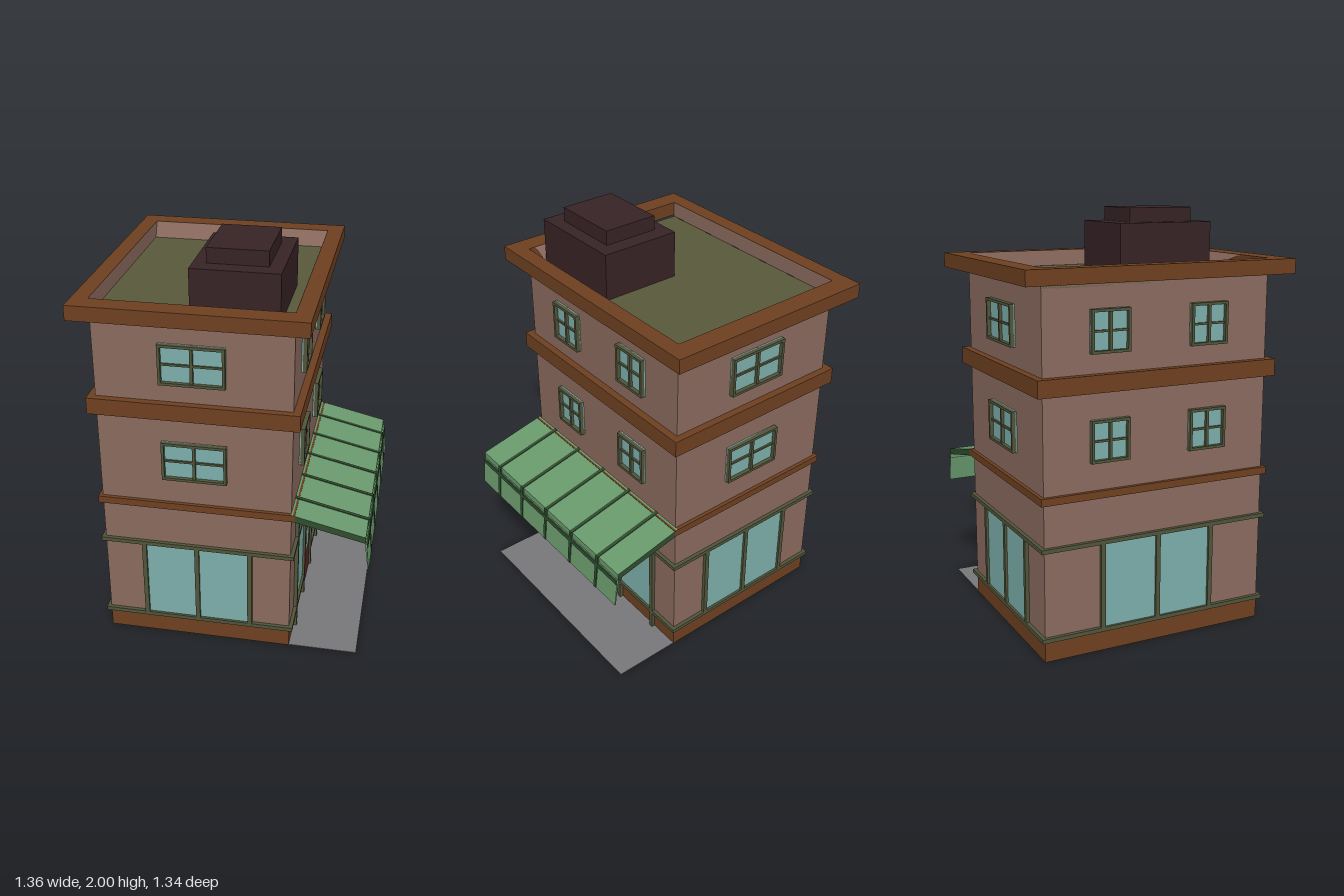
import * as THREE from 'three';

const mat = (name, color) => {
  const m = new THREE.MeshStandardMaterial({ color });
  m.name = name;
  return m;
};

export function createModel() {
  const wall = mat('wall', 0x8a6a5e), brown = mat('brownTrim', 0x6e4020), frame = mat('frameOlive', 0x50543a);
  const glass = mat('glass', 0x7dafab), roofMat = mat('roofOlive', 0x58583a), dark = mat('rooftopDark', 0x372325);
  const red = mat('doorRed', 0x602124), green = mat('awningGreen', 0x6a9a6d), deep = mat('awningStripe', 0x304d2e);
  const grey = mat('paving', 0x77777a);
  const paleWall = wall.clone();
  paleWall.side = THREE.DoubleSide;

  const model = new THREE.Group();
  model.name = 'cornerShop';
  const CX = -0.15, HW = 0.455, HD = 0.57; // body centre and half sizes

  // box given by its min and max corners
  const box = (parent, name, m, x0, x1, y0, y1, z0, z1) => {
    const mesh = new THREE.Mesh(new THREE.BoxGeometry(x1 - x0, y1 - y0, z1 - z0), m);
    mesh.position.set((x0 + x1) / 2, (y0 + y1) / 2, (z0 + z1) / 2);
    mesh.name = name;
    parent.add(mesh);
    return mesh;
  };
  // band round the body that sticks out by o
  const band = (name, y0, y1, o) =>
    box(model, name, brown, CX - HW - o, CX + HW + o, y0, y1, -HD - o, HD + o);

  // body, plinth and floor bands
  box(model, 'walls', wall, CX - HW, CX + HW, 0.1, 1.7, -HD, HD);
  box(model, 'plinth', [brown, brown, brown, wall, brown, brown], CX - HW, CX + HW, 0, 0.1, -HD, HD);
  band('lowerBand', 0.745, 0.78, 0.018);
  band('middleBand', 1.23, 1.31, 0.035);
  box(model, 'paving', grey, CX + HW, 0.64, 0, 0.004, -HD, HD);

  // cornice ring open over the roof
  const rect = (S, w, d) => new S([[-w, -d], [w, -d], [w, d], [-w, d]].map(p => new THREE.Vector2(...p)));
  const ring = rect(THREE.Shape, 0.5325, 0.67);
  ring.holes.push(rect(THREE.Path, HW, HD));
  const cornice = new THREE.Mesh(new THREE.ExtrudeGeometry(ring, { depth: 0.07, bevelEnabled: false }), brown);
  cornice.rotation.x = -Math.PI / 2;
  cornice.position.set(CX, 1.71, 0);
  cornice.name = 'cornice';
  model.add(cornice);

  // sunken roof with sloping inner parapet faces
  box(model, 'roof', roofMat, CX - HW, CX + HW, 1.69, 1.702, -HD, HD);
  const quad = (name, a, b, c, d) => {
    const g = new THREE.BufferGeometry();
    g.setAttribute('position', new THREE.Float32BufferAttribute([...a, ...b, ...c, ...a, ...c, ...d], 3));
    g.computeVertexNormals();
    const mesh = new THREE.Mesh(g, paleWall);
    mesh.name = name;
    model.add(mesh);
  };
  const L = CX - HW + 0.001, R = CX + HW - 0.001, T = 1.779, B = 1.703, Z = HD - 0.001;
  quad('backParapet', [L, B, -0.535], [R - 0.008, B, -0.535], [R, T, -Z], [L, T, -Z]);
  quad('leftParapet', [R - 0.008, B, -0.535], [R - 0.008, B, Z], [R, T, Z], [R, T, -Z]);
  quad('rightParapet', [L, B, Z], [L, B, -Z], [L, T, -Z], [L, T, Z]);
  quad('frontParapet', [-0.165, B, 0.53], [-0.38, T, Z], [0.27, T, Z], [0.235, B, 0.53]);

  // rooftop unit
  box(model, 'rooftopUnit', dark, -0.165, 0.235, 1.69, 1.93, 0.03, 0.53);
  box(model, 'rooftopUnitCap', dark, -0.105, 0.17, 1.93, 2.0, 0.11, 0.45);

  // facade group: local +z points out of the wall, z = 0 on the wall plane
  const facade = (name, angle, dist) => {
    const holder = new THREE.Group(), g = new THREE.Group();
    holder.position.x = CX;
    holder.rotation.y = angle;
    g.position.z = dist;
    g.name = name;
    holder.add(g);
    model.add(holder);
    return g;
  };
  // four-pane window
  const paneWindow = (f, u, y0, w) => {
    const h = 0.195, t = 0.013, d = 0.025, a = u - w / 2, b = u + w / 2, y1 = y0 + h;
    box(f, 'windowGlass', glass, a, b, y0, y1, 0, 0.006);
    for (const x of [a, b - t]) box(f, 'windowJamb', frame, x, x + t, y0, y1, 0, d);
    for (const y of [y0, y1 - t]) box(f, 'windowRail', frame, a, b, y, y + t, 0, d);
    box(f, 'windowMullion', frame, u - 0.007, u + 0.007, y0, y1, 0, 0.02);
    box(f, 'windowBar', frame, a, b, y0 + h / 2 - 0.005, y0 + h / 2 + 0.005, 0, 0.015);
  };
  const sill = (f, u0, u1, y) => box(f, 'shopRail', frame, u0, u1, y, y + 0.02, 0, 0.018);
  const post = (f, u, y0, y1) => box(f, 'shopPost', frame, u - 0.011, u + 0.011, y0, y1, 0, 0.018);
  const shopGlass = (f, u0, u1, y0 = 0.12) => box(f, 'shopGlass', glass, u0, u1, y0, 0.525, 0, 0.006);

  // front, back and right facades: two shop windows between three posts
  const plain = [['frontFacade', 0, HD, HW, 0.26], ['backFacade', Math.PI, HD, HW, 0.26],
    ['rightFacade', -Math.PI / 2, HW, HD, 0.285]];
  for (const [name, angle, dist, half, step] of plain) {
    const f = facade(name, angle, dist);
    for (const y of [0.1, 0.525]) sill(f, -half - 0.018, half + 0.018, y);
    for (const u of [-step, 0, step]) post(f, u, 0.12, 0.525);
    shopGlass(f, -step, 0);
    shopGlass(f, 0, step);
    for (const y of [0.91, 1.4]) {
      if (half === HW) paneWindow(f, 0, y, 0.305);
      else for (const s of [-1, 1]) paneWindow(f, s * 0.25, y, 0.19);
    }
  }

  // entrance facade with door, posts and shop windows
  const e = facade('entranceFacade', Math.PI / 2, HW);
  for (const s of [-1, 1]) {
    const span = (fn, a, b, ...r) => fn(e, Math.min(s * a, s * b), Math.max(s * a, s * b), ...r);
    span(sill, 0.13, HD + 0.018, 0.1);
    span(shopGlass, 0.14, 0.405);
    post(e, s * 0.13, 0, 0.75);
    post(e, s * 0.405, 0, 0.75);
    for (const y of [0.91, 1.4]) paneWindow(e, s * 0.25, y, 0.19);
  }
  sill(e, -HD - 0.018, HD + 0.018, 0.525);
  sill(e, -0.13, 0.13, 0.42);
  shopGlass(e, -0.12, 0.12, 0.44);
  box(e, 'door', red, -0.12, 0.12, 0, 0.42, 0, 0.008);
  box(e, 'doorGlass', glass, -0.05, 0.05, 0.2, 0.34, 0.008, 0.012);

  // awning: sloped slab and hanging valance, extruded along z
  const prism = (name, pts, z0, z1, m) => {
    const s = new THREE.Shape(pts.map(p => new THREE.Vector2(...p)));
    const mesh = new THREE.Mesh(new THREE.ExtrudeGeometry(s, { depth: z1 - z0, bevelEnabled: false }), m);
    mesh.position.z = z0;
    mesh.name = name;
    model.add(mesh);
  };
  const slab = [[0.305, 0.748], [0.655, 0.668], [0.655, 0.7], [0.305, 0.782]];
  const valance = [[0.672, 0.52], [0.677, 0.52], [0.66, 0.668], [0.652, 0.668]];
  prism('awningSlab', slab, -0.588, 0.588, [deep, green]);
  prism('awningValance', valance, -0.588, 0.588, green);
  const ribTop = [[0.305, 0.78], [0.655, 0.698], [0.658, 0.668], [0.66, 0.703], [0.305, 0.786]];
  const ribDrop = [[0.67, 0.52], [0.68, 0.52], [0.662, 0.703], [0.65, 0.67]];
  for (let i = -2; i <= 2; i++) {
    const z = i * 0.215;
    prism('awningRib', ribTop, z - 0.009, z + 0.009, deep);
    prism('valanceRib', ribDrop, z - 0.009, z + 0.009, deep);
  }
  prism('valanceStripe', [[0.655, 0.645], [0.668, 0.645], [0.666, 0.664], [0.653, 0.664]], -0.588, 0.588, deep);

  return model;
}
